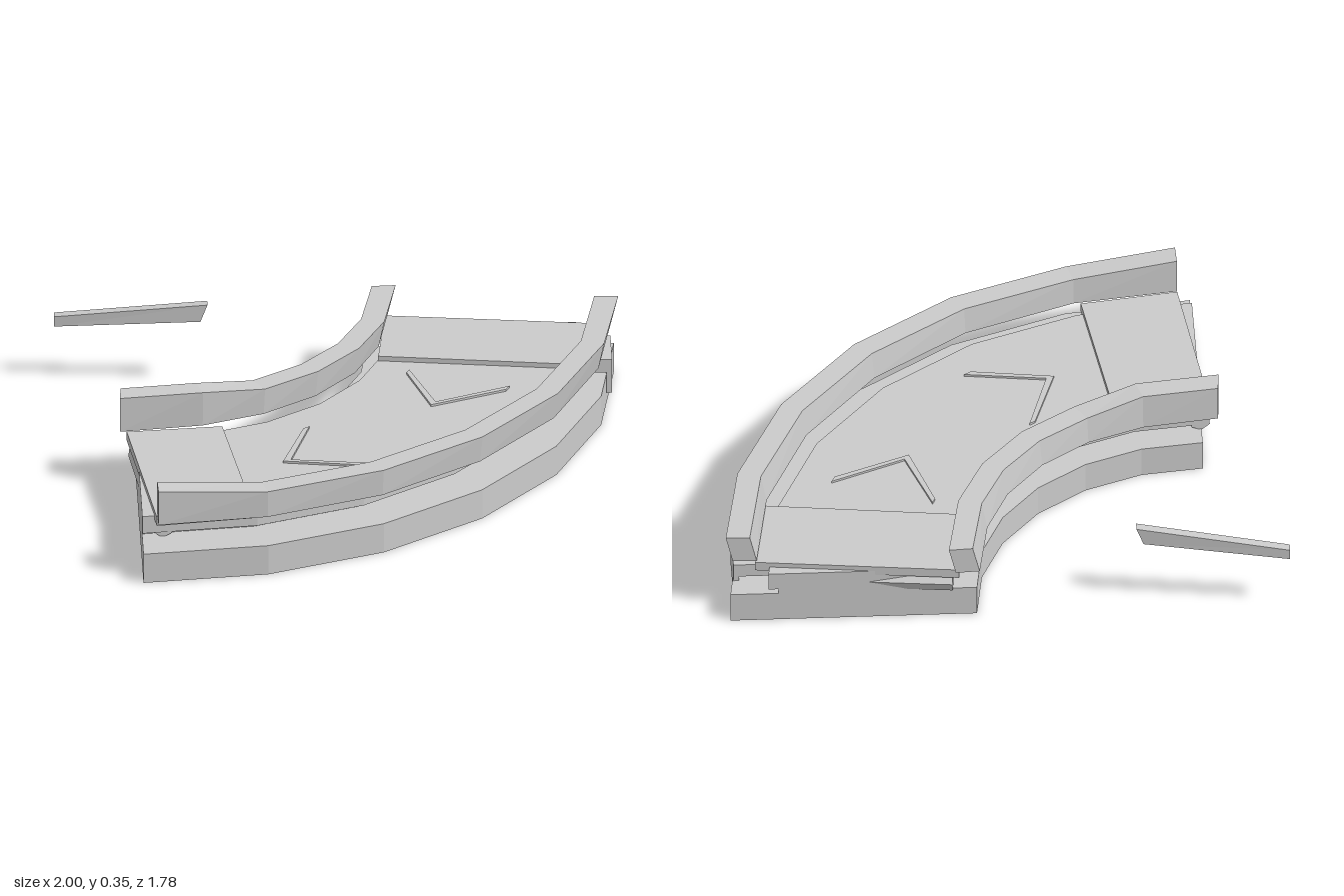
import * as THREE from 'three';

const CX = -0.735, CZ = -0.835; // centre of the bend
const mat = new THREE.MeshStandardMaterial({ color: 0xcccccc, flatShading: true });
const place = (deg, r, y) => {
  const t = THREE.MathUtils.degToRad(deg);
  return [CX + r * Math.sin(t), y, CZ + r * Math.cos(t)];
};
const BEND = [0, 15, 30, 45, 60, 75, 90];

// Closed solid swept round the bend; section(deg) gives four [radius, y] corners
function sweep(angles, section) {
  const rings = angles.map(a => section(a).map(([r, y]) => place(a, r, y)));
  const pos = [];
  const quad = (a, b, c, d) => pos.push(...a, ...b, ...c, ...a, ...c, ...d);
  for (let i = 0; i + 1 < rings.length; i++) {
    for (let j = 0; j < 4; j++) {
      const k = (j + 1) % 4;
      quad(rings[i][j], rings[i + 1][j], rings[i + 1][k], rings[i][k]);
    }
  }
  quad(...rings[0]);
  quad(...rings[rings.length - 1].slice().reverse());
  const g = new THREE.BufferGeometry();
  g.setAttribute('position', new THREE.Float32BufferAttribute(pos, 3));
  g.computeVertexNormals();
  return g;
}
const block = (r0, r1, y0, y1) => () => [[r0, y0], [r1, y0], [r1, y1], [r0, y1]];

// Flat plate from [x, z] corners
function plate(points, y0, y1) {
  const shape = new THREE.Shape(points.map(([x, z]) => new THREE.Vector2(x, -z)));
  const g = new THREE.ExtrudeGeometry(shape, { depth: y1 - y0, bevelEnabled: false });
  return g.rotateX(-Math.PI / 2).translate(0, y0, 0);
}

export function createModel() {
  const model = new THREE.Group();
  const add = (name, geometry) => {
    const m = new THREE.Mesh(geometry, mat);
    m.name = name;
    model.add(m);
    return m;
  };

  // Base, support and belt bed
  add('base', sweep(BEND, block(0.845, 1.72, 0, 0.112)));
  add('beltSupport', sweep(BEND, block(0.97, 1.55, 0.11, 0.132)));
  add('belt', sweep(BEND, block(0.93, 1.585, 0.13, 0.196)));

  // Side rails: lean outwards towards the far end, raised at the near end
  const rail = (r0, r1, raisedUntil, raisedEnd, flare) => deg => {
    const lean = 0.025 * THREE.MathUtils.clamp(deg / 90, 0, 1);
    const rise = 0.03 * (1 - THREE.MathUtils.clamp((deg - raisedUntil) / (raisedEnd - raisedUntil), 0, 1));
    const f = deg < 0 || deg > 90 ? flare : 0;
    return [[r0 + f, 0.22], [r1 + f, 0.22], [r1 + f + lean, 0.32 + rise], [r0 + f + lean, 0.32 + rise]];
  };
  add('outerRail', sweep([1.8, 15, 30, 45, 60, 75, 88.2], rail(1.625, 1.71, 1.8, 15, 0)));
  add('innerRail', sweep([-3.7, 15, 30, 45, 60, 75, 93.7], rail(0.825, 0.91, 15, 30, 0.015)));

  // End plates and end rollers, mirrored across the diagonal of the bend
  const corners = [[-0.035, 0.91], [0.05, 1.63], [0.395, 1.575], [0.305, 0.875]];
  for (const [side, swap] of [['near', false], ['far', true]]) {
    const at = ([a, b]) => (swap ? [CX + b, CZ + a] : [CX + a, CZ + b]);
    const pts = corners.map(at);
    add(side + 'EndPlate', plate(pts, 0.18, 0.214));
    const [x0, z0] = at([0.005, 0.93]), [x1, z1] = at([0.075, 1.57]);
    const roller = add(side + 'EndRoller',
      new THREE.CylinderGeometry(0.038, 0.038, Math.hypot(x1 - x0, z1 - z0), 6));
    roller.position.set((x0 + x1) / 2, 0.145, (z0 + z1) / 2);
    roller.quaternion.setFromUnitVectors(new THREE.Vector3(0, 1, 0),
      new THREE.Vector3(x1 - x0, 0, z1 - z0).normalize());
  }

  // Thin direction chevrons on the belt
  for (const deg of [24, 56.5]) {
    const p = (r, a) => { const [x, , z] = place(deg + a, r, 0); return [x, z]; };
    add('chevron', plate(
      [p(1.44, 10), p(1.26, 0), p(1.06, 10), p(1.06, 11.4), p(1.26, 1.4), p(1.44, 11.2)], 0.19, 0.204));
  }

  // Bracket hooked over the outer edge of the base
  const box = (name, x0, x1, y0, y1, z0, z1) =>
    add(name, new THREE.BoxGeometry(x1 - x0, y1 - y0, z1 - z0)
      .translate((x0 + x1) / 2, (y0 + y1) / 2, (z0 + z1) / 2));
  box('bracketTop', 0.83, 0.97, 0.13, 0.18, -0.75, -0.55);
  box('bracketDrop', 0.95, 0.97, 0.05, 0.13, -0.75, -0.55);

  // Detached tapered bar, sloping up towards the bend
  const bar = new THREE.BoxGeometry(1, 1, 1);
  const v = bar.attributes.position;
  for (let i = 0; i < v.count; i++) {
    const right = v.getX(i) > 0, top = v.getY(i) > 0, front = v.getZ(i) > 0;
    v.setXYZ(i,
      right ? (top ? -0.458 : -0.483) : -1,
      right ? (top ? 0.315 : 0.25) : (top ? 0.248 : 0.21),
      (right ? -0.778 : -0.84) + (front ? 0.018 : -0.018));
  }
  bar.computeVertexNormals();
  add('looseBar', bar);

  return model;
}
